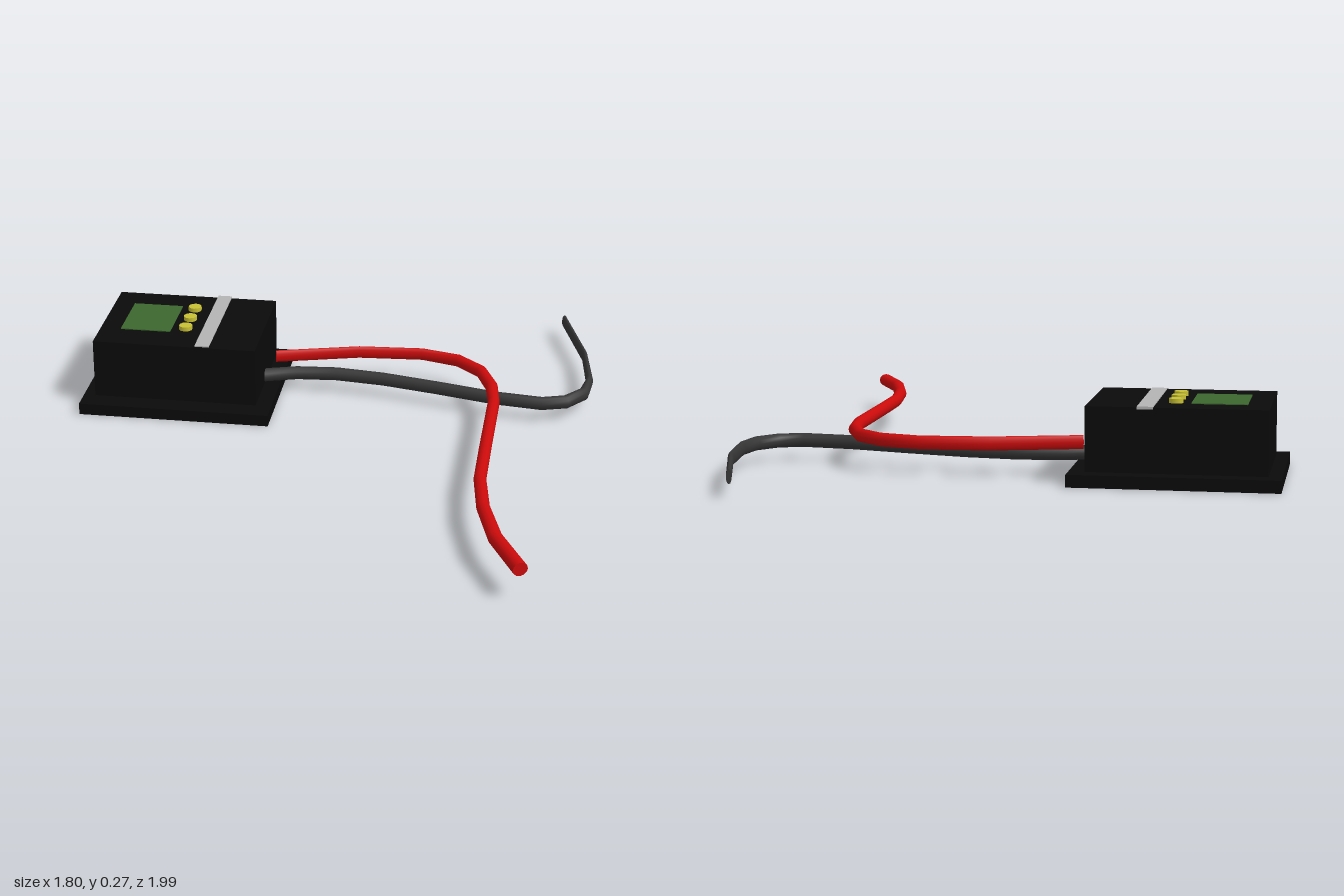
import * as THREE from 'three';

const mat = (name, color) => {
  const m = new THREE.MeshStandardMaterial({ color });
  m.name = name;
  return m;
};

// Box from its minimum and maximum corners
function block(name, material, [x0, y0, z0], [x1, y1, z1]) {
  const mesh = new THREE.Mesh(new THREE.BoxGeometry(x1 - x0, y1 - y0, z1 - z0), material);
  mesh.position.set((x0 + x1) / 2, (y0 + y1) / 2, (z0 + z1) / 2);
  mesh.name = name;
  return mesh;
}

// Cable lying flat at height y; each path point is [x, z, half width]
function cable(name, material, y, halfHeight, path, sides = 12) {
  const pos = [], index = [];
  const up = new THREE.Vector3(0, 1, 0);
  const centres = path.map(([x, z]) => new THREE.Vector3(x, y, z));
  const last = path.length - 1;
  const rings = centres.map((c, i) => {
    const t = centres[Math.min(i + 1, last)].clone().sub(centres[Math.max(i - 1, 0)]).normalize();
    const side = up.clone().cross(t);
    return Array.from({ length: sides }, (_, j) => {
      const a = (j / sides) * Math.PI * 2;
      return c.clone()
        .addScaledVector(side, Math.cos(a) * path[i][2])
        .addScaledVector(up, Math.sin(a) * halfHeight);
    });
  });
  rings.forEach((ring) => ring.forEach((p) => pos.push(p.x, p.y, p.z)));
  for (let i = 0; i < last; i++) {
    for (let j = 0; j < sides; j++) {
      const k = (j + 1) % sides;
      const a = i * sides + j, b = i * sides + k;
      index.push(a, b, a + sides, b, b + sides, a + sides);
    }
  }
  // End caps with their own vertices, so the rims stay sharp
  for (const end of [0, last]) {
    const base = pos.length / 3;
    [centres[end], ...rings[end]].forEach((p) => pos.push(p.x, p.y, p.z));
    for (let j = 0; j < sides; j++) {
      const a = base + 1 + j, b = base + 1 + ((j + 1) % sides);
      if (end) index.push(base, a, b);
      else index.push(base, b, a);
    }
  }
  const geo = new THREE.BufferGeometry();
  geo.setAttribute('position', new THREE.Float32BufferAttribute(pos, 3));
  geo.setIndex(index);
  geo.computeVertexNormals();
  const mesh = new THREE.Mesh(geo, material);
  mesh.name = name;
  return mesh;
}

export function createModel() {
  const model = new THREE.Group();
  model.name = 'wiredModule';
  const black = mat('case black', 0x0a0a0a);
  const grey = mat('cable grey', 0x363636);
  const red = mat('cable red', 0xcc0b0b);
  const green = mat('board green', 0x3c672d);
  const yellow = mat('terminal yellow', 0xc8c034);
  const silver = mat('strip silver', 0xb4b4b4);

  // Case: flange plate and body, with a hairline gap between them
  model.add(block('flange', black, [-0.903, 0, -0.643], [-0.223, 0.041, -0.077]));
  model.add(block('body', black, [-0.86, 0.044, -0.598], [-0.278, 0.255, -0.148]));

  // Details on the top face
  model.add(block('circuitBoard', green, [-0.786, 0.25, -0.495], [-0.606, 0.258, -0.267]));
  model.add(block('metalStrip', silver, [-0.495, 0.25, -0.607], [-0.444, 0.259, -0.155]));
  const terminals = new THREE.Group();
  terminals.name = 'terminals';
  for (const z of [-0.473, -0.386, -0.302]) {
    const t = new THREE.Mesh(new THREE.CylinderGeometry(0.024, 0.024, 0.022, 10), yellow);
    t.position.set(-0.556, 0.259, z);
    t.name = 'terminal';
    terminals.add(t);
  }
  model.add(terminals);

  // Cables, narrowing in plan toward one end
  model.add(cable('redCable', red, 0.112, 0.023, [
    [-0.25, -0.425, 0.011], [0.045, -0.505, 0.011], [0.275, -0.52, 0.013],
    [0.41, -0.483, 0.018], [0.5, -0.4, 0.021], [0.547, -0.28, 0.022],
    [0.564, -0.155, 0.021], [0.563, 0.2, 0.021], [0.564, 0.42, 0.021],
    [0.59, 0.61, 0.022], [0.643, 0.8, 0.024], [0.733, 0.982, 0.025],
  ]));
  model.add(cable('greyCable', grey, 0.068, 0.024, [
    [-0.32, -0.34, 0.023], [-0.27, -0.357, 0.023], [-0.167, -0.389, 0.022],
    [-0.024, -0.4, 0.022], [0.15, -0.38, 0.021], [0.347, -0.336, 0.02],
    [0.558, -0.283, 0.02], [0.727, -0.262, 0.021], [0.81, -0.288, 0.022],
    [0.87, -0.362, 0.019], [0.886, -0.468, 0.013], [0.86, -0.68, 0.01],
    [0.77, -0.995, 0.009],
  ]));
  return model;
}
